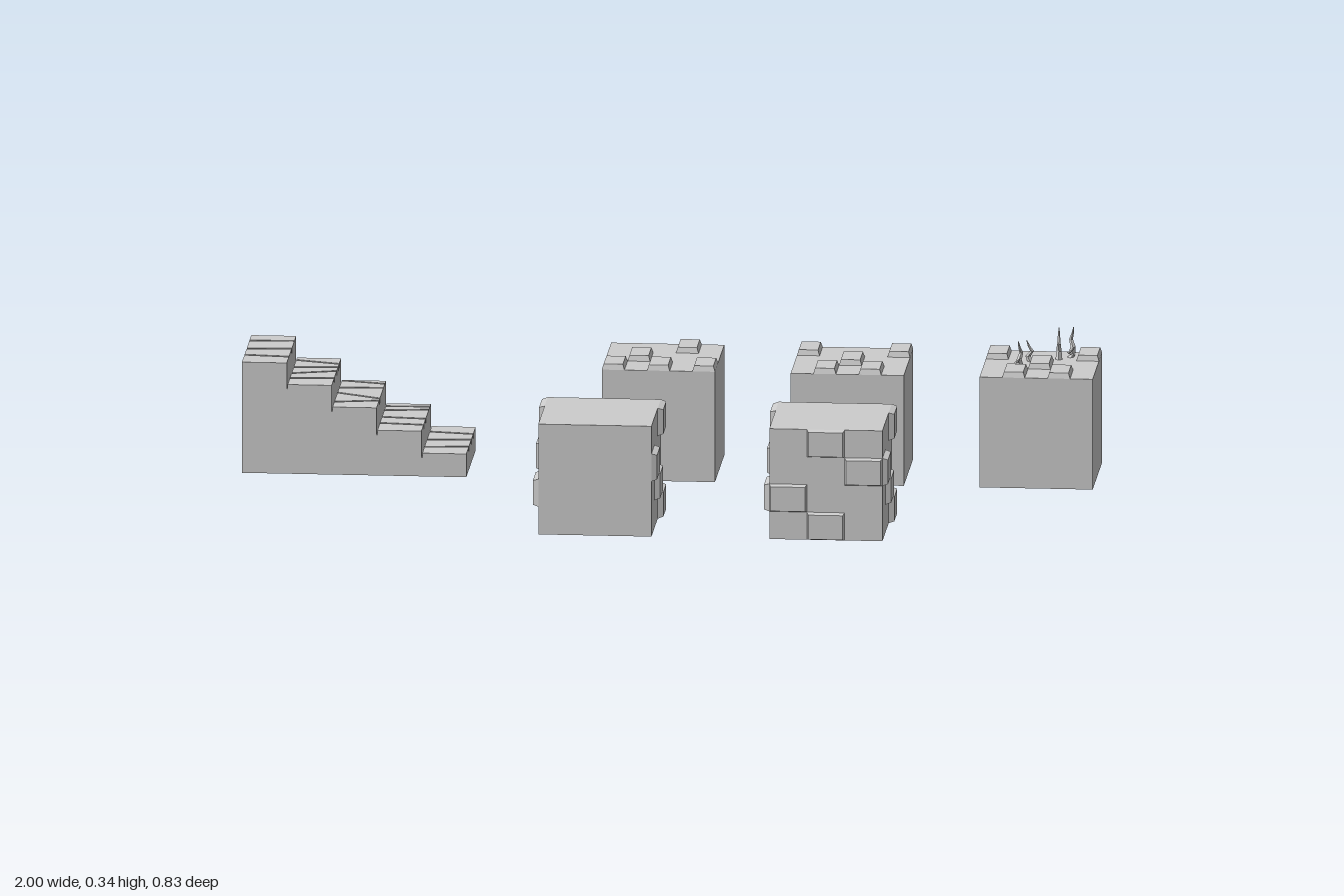
import * as THREE from 'three';

const stone = new THREE.MeshStandardMaterial({ color: 0xcccccc });
stone.name = 'stone';

const SIZE = 0.266; // edge of every block
const RAISE = 0.013; // how far bricks and tiles stand out

function add(parent, geometry, name, x = 0, y = 0, z = 0) {
  const mesh = new THREE.Mesh(geometry, stone);
  mesh.name = name;
  mesh.position.set(x, y, z);
  parent.add(mesh);
  return mesh;
}

// Raised tile in the XY plane, facing +z, with a bevelled outer edge
function tileGeometry(w, h, depth = RAISE, bevel = 0.004) {
  const g = new THREE.BoxGeometry(w, h, depth);
  g.translate(0, 0, depth / 2);
  const p = g.attributes.position;
  for (let i = 0; i < p.count; i++) {
    if (p.getZ(i) < depth / 2) continue;
    p.setX(i, p.getX(i) - Math.sign(p.getX(i)) * bevel);
    p.setY(i, p.getY(i) - Math.sign(p.getY(i)) * bevel);
  }
  g.computeVertexNormals();
  return g;
}

// Lays tiles on a cols x rows grid; cells are [column, row] from lower left
function tiledFace(cols, rows, cells, name) {
  const face = new THREE.Group();
  face.name = name;
  const w = SIZE / cols, h = SIZE / rows;
  for (const [c, r] of cells) {
    add(face, tileGeometry(w, h), 'tile', (c + 0.5) * w - SIZE / 2, (r + 0.5) * h - SIZE / 2, 0);
  }
  return face;
}

function block(name, x, z) {
  const g = new THREE.Group();
  g.name = name;
  g.position.set(x, 0, z);
  add(g, new THREE.BoxGeometry(SIZE, SIZE, SIZE), 'blockBody', 0, SIZE / 2, 0);
  return g;
}

// Block with raised bricks on the listed sides (angle about y, cells)
function wallBlock(name, x, z, sides) {
  const g = block(name, x, z);
  for (const [angle, cells] of sides) {
    const face = tiledFace(3, 4, cells, 'brickFace');
    face.rotation.y = angle;
    face.position.set(Math.sin(angle) * SIZE / 2, SIZE / 2, Math.cos(angle) * SIZE / 2);
    g.add(face);
  }
  return g;
}

// Block with raised paving tiles on top
function floorBlock(name, x, z, cells) {
  const g = block(name, x, z);
  const face = tiledFace(5, 3, cells, 'pavedTop');
  face.rotation.x = -Math.PI / 2;
  face.position.y = SIZE;
  g.add(face);
  return g;
}

// Crooked four-sided grass blade, tapering to a point
function bladeGeometry(height, phase) {
  const g = new THREE.CylinderGeometry(0.001, 0.008, height, 4, 4).toNonIndexed();
  g.translate(0, height / 2, 0);
  const p = g.attributes.position;
  const sway = [0, 0.006, -0.004, 0.004, 0.009];
  for (let i = 0; i < p.count; i++) {
    const s = sway[Math.round(p.getY(i) / height * 4)];
    p.setX(i, p.getX(i) + s * Math.sin(phase));
    p.setZ(i, p.getZ(i) + s * Math.cos(phase));
  }
  g.computeVertexNormals();
  return g;
}

// Staircase descending towards +x, each tread covered in cracked slabs
function staircase() {
  const g = new THREE.Group();
  g.name = 'staircase';
  const x0 = -1, run = 0.1055, back = -0.413, front = -0.147, slab = 0.011, gap = 0.004;
  const heights = [0.267, 0.215, 0.163, 0.109, 0.056];
  const outline = new THREE.Shape();
  outline.moveTo(x0, 0);
  heights.forEach((h, i) => {
    outline.lineTo(x0 + i * run, h - slab);
    outline.lineTo(x0 + (i + 1) * run, h - slab);
  });
  outline.lineTo(x0 + 5 * run, 0);
  add(g, new THREE.ExtrudeGeometry(outline, { depth: front - back, bevelEnabled: false }), 'stairBody', 0, 0, back);

  // Cracks across each tread: z at its left and right edge
  const cracks = [
    [[-0.36, -0.365], [-0.28, -0.29], [-0.22, -0.21]],
    [[-0.39, -0.36], [-0.32, -0.33], [-0.26, -0.29], [-0.21, -0.22]],
    [[-0.41, -0.385], [-0.34, -0.345], [-0.29, -0.24], [-0.20, -0.22]],
    [[-0.385, -0.39], [-0.345, -0.36], [-0.28, -0.27], [-0.22, -0.21]],
    [[-0.36, -0.345], [-0.28, -0.29], [-0.21, -0.22]],
  ];
  heights.forEach((h, i) => {
    const l = x0 + i * run + (i ? gap / 2 : 0), r = x0 + (i + 1) * run;
    const cuts = [[back - gap, back - gap], ...cracks[i], [front + gap, front + gap]];
    for (let k = 0; k < cuts.length - 1; k++) {
      const [a, b] = cuts[k], [c, d] = cuts[k + 1];
      const s = new THREE.Shape([
        new THREE.Vector2(l, -a - gap), new THREE.Vector2(l, -c + gap),
        new THREE.Vector2(r, -d + gap), new THREE.Vector2(r, -b - gap),
      ]);
      const geo = new THREE.ExtrudeGeometry(s, { depth: slab, bevelEnabled: false });
      geo.rotateX(-Math.PI / 2);
      add(g, geo, 'treadSlab', 0, h - slab, 0);
    }
  });
  return g;
}

export function createModel() {
  const model = new THREE.Group();
  model.name = 'dungeonBlocks';
  model.add(staircase());

  // Brick walls: rightward column as seen facing each side
  const frontBricks = [[1, 3], [2, 2], [0, 1], [1, 0]];
  const leftBricks = [[2, 3], [0, 2], [1, 1], [2, 0]];
  const rightBricks = [[0, 3], [1, 2], [2, 1], [0, 0]];
  const q = Math.PI / 2;
  model.add(wallBlock('wallBlock', -0.125, 0.266, [[q, leftBricks], [-q, rightBricks]]));
  model.add(wallBlock('cornerWallBlock', 0.418, 0.266, [[0, frontBricks], [q, leftBricks], [-q, rightBricks]]));

  // Paved floor blocks
  const paving = [[0, 2], [4, 2], [2, 1], [1, 0], [3, 0]];
  model.add(floorBlock('floorBlock', -0.021, -0.28, [[3, 2], [1, 1], [0, 0], [2, 0], [4, 0]]));
  model.add(floorBlock('floorBlock', 0.423, -0.28, paving));
  const grassy = floorBlock('grassyFloorBlock', 0.867, -0.28, paving);
  model.add(grassy);

  // Grass: x, z, height
  const blades = [
    [0.93, -0.40, 0.065], [0.93, -0.36, 0.022], [0.905, -0.335, 0.075],
    [0.84, -0.312, 0.05], [0.82, -0.268, 0.06], [0.815, -0.245, 0.025],
  ];
  blades.forEach(([x, z, h], i) => {
    add(grassy, bladeGeometry(h, i * 1.3 + 0.6), 'grassBlade', x - 0.867, SIZE, z + 0.28);
  });
  return model;
}
